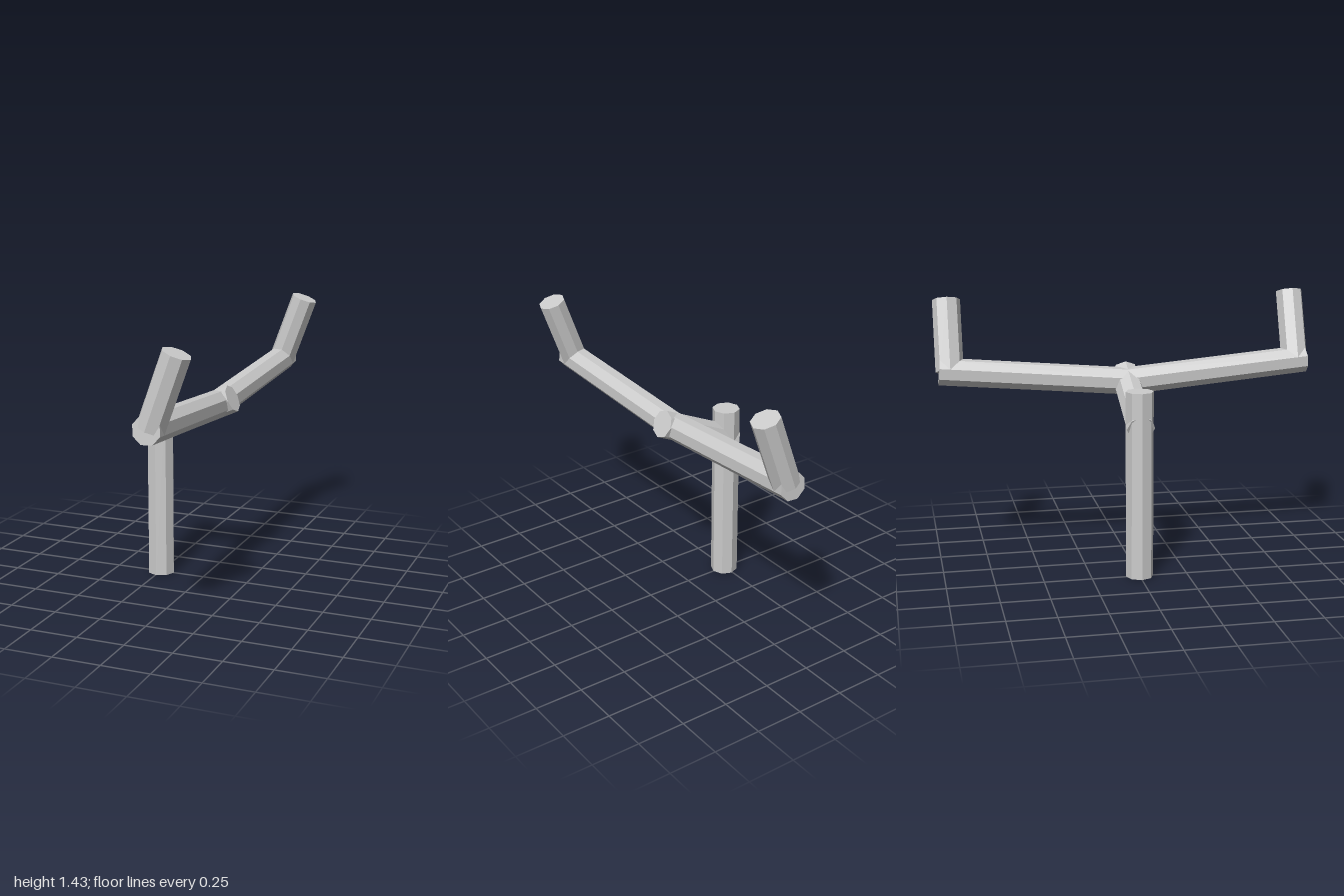
import * as THREE from 'three';

const RADIUS = 0.0725;
const material = new THREE.MeshStandardMaterial({ color: 0xcccccc, flatShading: true });

// Octagonal tube standing on its own origin, so rotation pivots at its base
function tube(name, length) {
  const geometry = new THREE.CylinderGeometry(RADIUS, RADIUS, length, 8);
  geometry.translate(0, length / 2, 0);
  const mesh = new THREE.Mesh(geometry, material);
  mesh.name = name;
  return mesh;
}

export function createModel() {
  const model = new THREE.Group();
  model.name = 'handlebarAssembly';
  const deg = THREE.MathUtils.degToRad;

  // Upright post
  const post = tube('steeringPost', 0.98);
  post.position.set(-0.245, 0, 0);
  model.add(post);

  // Stem rising from the post to the bar
  const stem = tube('stem', 0.49);
  stem.position.set(-0.28, 0.793, 0);
  stem.rotation.z = deg(-65);
  model.add(stem);

  // Handlebar, tilted as one piece
  const handlebar = new THREE.Group();
  handlebar.name = 'handlebar';
  handlebar.position.set(0.09, 0.969, 0);
  handlebar.rotation.z = deg(-20);
  model.add(handlebar);

  const rise = deg(5);
  const gripZ = 0.9275;
  for (const [side, sign] of [['front', 1], ['back', -1]]) {
    // Arm sweeping out and slightly up
    const arm = tube(side + 'Arm', 0.986);
    arm.rotation.x = sign * (Math.PI / 2 - rise);
    handlebar.add(arm);

    // Grip standing on the end of the arm
    const grip = tube(side + 'Grip', 0.38);
    grip.position.set(0, gripZ * Math.tan(rise), sign * gripZ);
    handlebar.add(grip);
  }

  return model;
}
